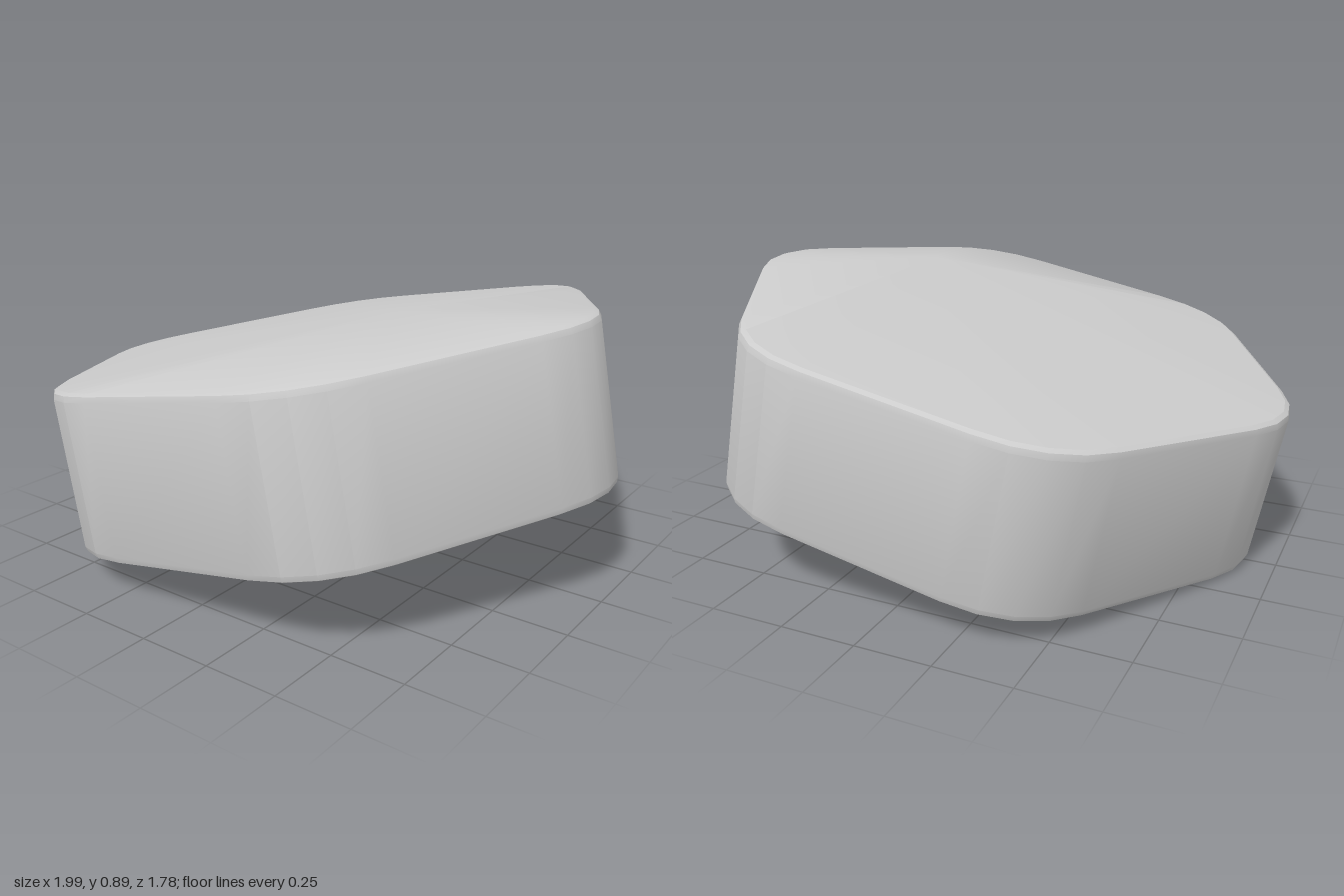
import * as THREE from 'three';
import { toCreasedNormals } from 'three/addons/utils/BufferGeometryUtils.js';

// Hexagon outline with softly rounded corners, as [x, z] pairs
function hexOutline(inradius, cut, steps) {
  const R = inradius / Math.cos(Math.PI / 6);
  const corner = (i) => new THREE.Vector2(R * Math.cos(i * Math.PI / 3), R * Math.sin(i * Math.PI / 3));
  const points = [];
  for (let i = 0; i < 6; i++) {
    const c = corner(i);
    const start = c.clone().lerp(corner(i - 1), cut / R);
    const end = c.clone().lerp(corner(i + 1), cut / R);
    points.push(...new THREE.QuadraticBezierCurve(start, c, end).getPoints(steps));
  }
  return points;
}

// Stack inset copies of the outline and close both ends with a fan
function loftedSlab(outline, rings, bottomCentre, topApex) {
  const n = outline.length;
  const positions = [];
  const index = [];
  for (const [inset, h] of rings) {
    for (const p of outline) {
      const s = 1 - inset / p.length();
      positions.push(p.x * s, h, p.y * s);
    }
  }
  const bottom = rings.length * n;
  const top = bottom + 1;
  positions.push(...bottomCentre, ...topApex);
  for (let j = 0; j < n; j++) {
    const k = (j + 1) % n;
    for (let r = 0; r < rings.length - 1; r++) {
      const a = r * n + j, b = r * n + k;
      index.push(a, a + n, b, b, a + n, b + n);
    }
    const last = (rings.length - 1) * n;
    index.push(bottom, j, k);
    index.push(top, last + k, last + j);
  }
  const geometry = new THREE.BufferGeometry();
  geometry.setAttribute('position', new THREE.Float32BufferAttribute(positions, 3));
  geometry.setIndex(index);
  return toCreasedNormals(geometry, 0.35);
}

export function createModel() {
  const model = new THREE.Group();
  model.name = 'hexagonalStone';

  // [inset, height]: small bevels at the lower and upper rims
  const rings = [[0.022, 0], [0.006, 0.007], [0, 0.025], [0, 0.518], [0.006, 0.536], [0.022, 0.544]];
  const geometry = loftedSlab(hexOutline(0.89, 0.24, 4), rings, [0, 0, 0], [0.43, 0.635, 0.2]);
  const slab = new THREE.Mesh(geometry, new THREE.MeshStandardMaterial({ color: 0xcccccc }));
  slab.name = 'tiltedSlab';

  // The slab leans up towards +x
  slab.rotation.z = 0.191;
  slab.position.set(0.05, 0.18, 0);
  model.add(slab);
  return model;
}
